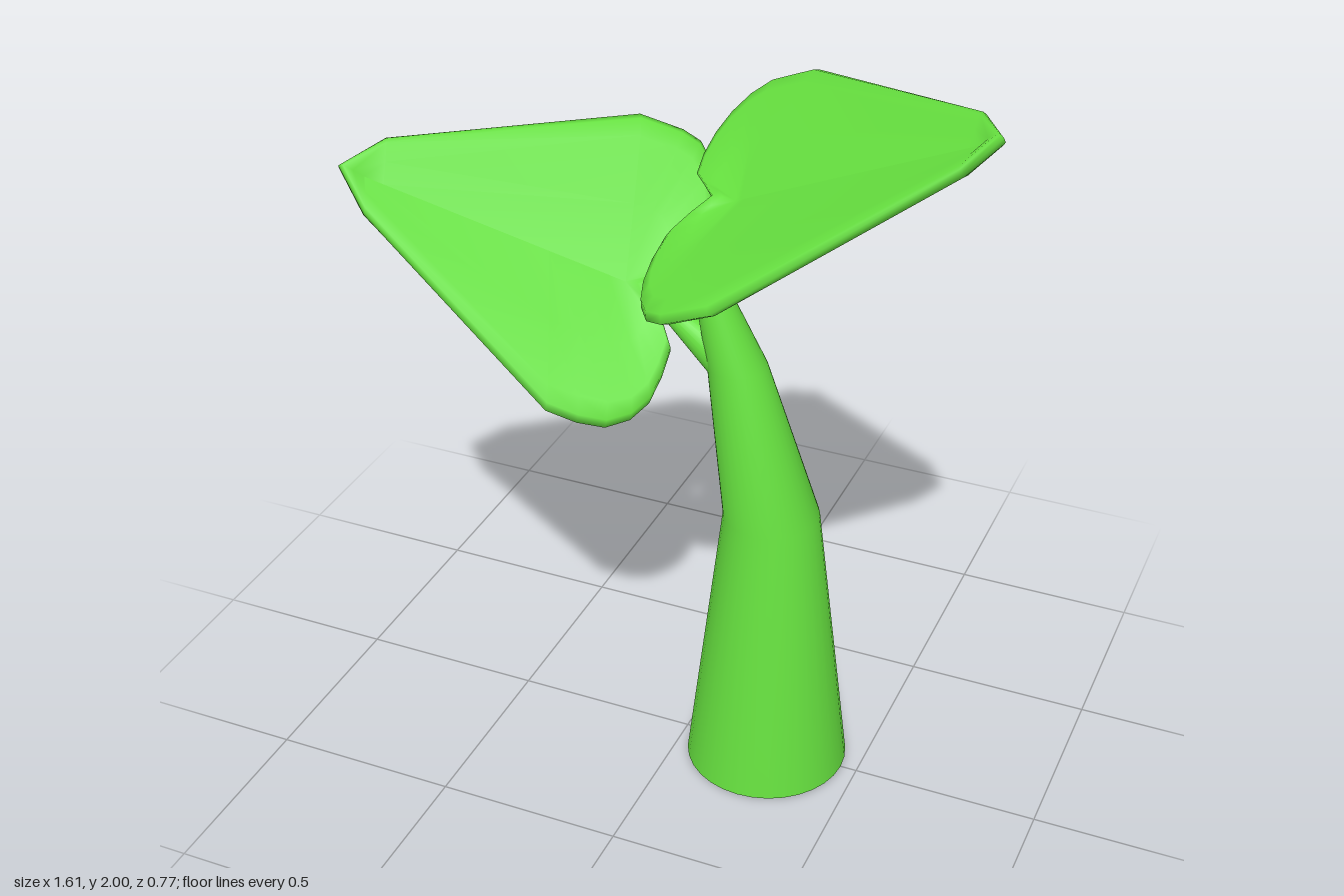
import * as THREE from 'three';
import { mergeVertices } from 'three/addons/utils/BufferGeometryUtils.js';

const material = new THREE.MeshStandardMaterial({ color: 0x66e03f });

function addMesh(group, name, geometry) {
  const mesh = new THREE.Mesh(geometry, material);
  mesh.name = name;
  group.add(mesh);
  return mesh;
}

// Tapered, bent stalk: rings from the bottom up are [centre x, y, radius]
function stalkGeometry(rings) {
  let g = new THREE.CylinderGeometry(1, 1, 1, 32, rings.length - 1);
  g.deleteAttribute('uv');
  g = mergeVertices(g);
  const p = g.attributes.position;
  for (let i = 0; i < p.count; i++) {
    const [cx, cy, r] = rings[Math.round((p.getY(i) + 0.5) * (rings.length - 1))];
    p.setXYZ(i, cx + p.getX(i) * r, cy, p.getZ(i) * r);
  }
  g.computeVertexNormals();
  return g;
}

// Leaf cross-section from the top of the midrib, round the rim, to the keel below:
// [fraction of the way to the rim, offset along the leaf normal]
const SECTION = [
  [0, -0.008], [0.45, 0.014], [0.85, 0.026], [0.96, 0.019], [1, 0],
  [0.96, -0.019], [0.85, -0.028], [0.45, -0.04], [0, -0.052],
];

// Heart-shaped leaf on a tilted plane y = base + slopeX * x + slopeZ * z.
// notch, tip and both lobe outlines are [x, z] seen from above.
function leafGeometry({ notch, tip, back, front, base, slopeX, slopeZ }) {
  const normal = new THREE.Vector3(-slopeX, 1, -slopeZ).normalize();
  const a = new THREE.Vector2(...notch), b = new THREE.Vector2(...tip);
  const rib = b.clone().sub(a);
  const positions = [], index = [];
  const n = SECTION.length;
  [[back, -1], [front, 1]].forEach(([lobe, side]) => {
    const start = positions.length / 3;
    const outline = [notch, ...lobe, tip];
    outline.forEach(([x, z]) => {
      const rim = new THREE.Vector2(x, z);
      // The midrib stops short of the rim at the notch and at the tip
      const t = THREE.MathUtils.clamp(rim.clone().sub(a).dot(rib) / rib.lengthSq(), 0.07, 0.92);
      const foot = a.clone().addScaledVector(rib, t);
      const thin = 1 - 0.4 * t;
      SECTION.forEach(([f, h]) => {
        const q = foot.clone().lerp(rim, f);
        const y = base + slopeX * q.x + slopeZ * q.y;
        const v = new THREE.Vector3(q.x, y, q.y).addScaledVector(normal, h * thin);
        positions.push(v.x, v.y, v.z);
      });
    });
    const flip = side * Math.sign(rib.x) < 0;
    for (let i = 0; i < outline.length - 1; i++) {
      for (let j = 0; j < n - 1; j++) {
        const p = start + i * n + j, q = p + n;
        if (flip) index.push(p, q, p + 1, p + 1, q, q + 1);
        else index.push(p, p + 1, q, p + 1, q + 1, q);
      }
    }
  });
  let g = new THREE.BufferGeometry();
  g.setAttribute('position', new THREE.Float32BufferAttribute(positions, 3));
  g.setIndex(index);
  g = mergeVertices(g, 1e-4);
  g.computeVertexNormals();
  return g;
}

export function createModel() {
  const group = new THREE.Group();
  group.name = 'sprout';

  // Main stem, bending towards -x as it narrows
  addMesh(group, 'stem', stalkGeometry([
    [0.237, 0, 0.218], [0.235, 0.78, 0.126], [0.135, 1.2, 0.077],
    [0.066, 1.39, 0.046], [0.063, 1.47, 0.036], [0.075, 1.615, 0.018],
  ]));

  // Short side branch, rooted inside the stem
  const from = new THREE.Vector3(0.1, 1.21, 0);
  const to = new THREE.Vector3(-0.125, 1.365, -0.005);
  const dir = to.clone().sub(from);
  const branch = addMesh(group, 'branch', new THREE.CylinderGeometry(0.012, 0.056, dir.length(), 24));
  branch.position.copy(from).add(to).multiplyScalar(0.5);
  branch.quaternion.setFromUnitVectors(new THREE.Vector3(0, 1, 0), dir.normalize());

  // Upper leaf
  addMesh(group, 'upperLeaf', leafGeometry({
    notch: [0.07, -0.005], tip: [0.8, 0.12],
    back: [[0.02, -0.07], [-0.02, -0.12], [-0.03, -0.19], [-0.025, -0.26], [-0.005, -0.32],
      [0.03, -0.365], [0.08, -0.388], [0.2, -0.365], [0.73, 0.02]],
    front: [[0.02, 0.035], [-0.02, 0.08], [-0.027, 0.15], [-0.02, 0.22], [0, 0.28],
      [0.035, 0.33], [0.085, 0.358], [0.21, 0.38], [0.73, 0.19]],
    base: 1.592, slopeX: 0.555, slopeZ: -0.43,
  }));

  // Lower leaf
  addMesh(group, 'lowerLeaf', leafGeometry({
    notch: [-0.11, 0], tip: [-0.805, 0.28],
    back: [[-0.06, -0.07], [-0.02, -0.125], [-0.022, -0.2], [-0.035, -0.265], [-0.06, -0.31],
      [-0.105, -0.33], [-0.15, -0.32], [-0.25, -0.275], [-0.735, 0.165]],
    front: [[-0.06, 0.03], [-0.02, 0.065], [-0.02, 0.12], [-0.028, 0.18], [-0.055, 0.235],
      [-0.1, 0.285], [-0.16, 0.32], [-0.23, 0.348], [-0.72, 0.318]],
    base: 1.272, slopeX: -0.81, slopeZ: -0.825,
  }));

  return group;
}
